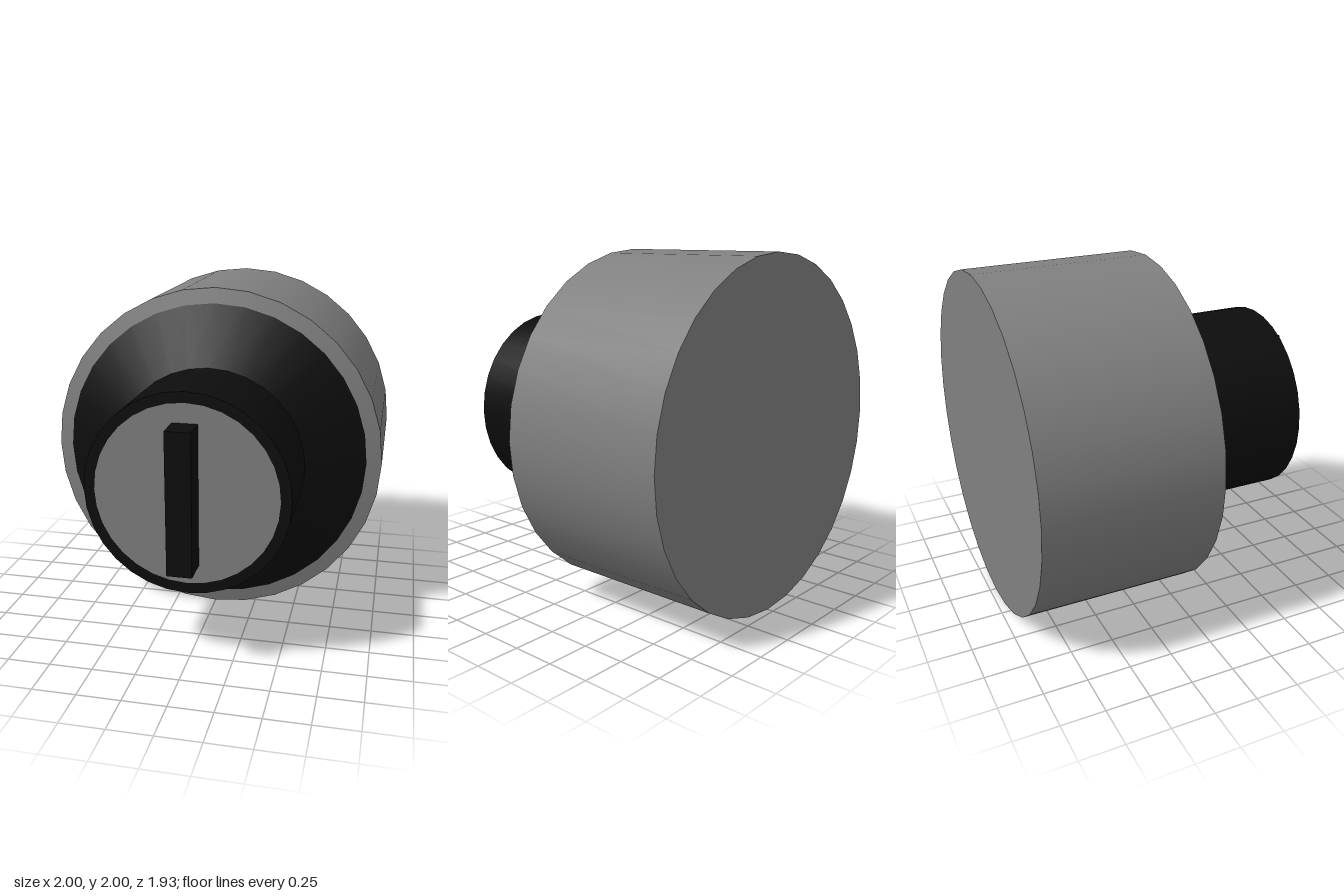
import * as THREE from 'three';

const SIDES = 32;

export function createModel() {
  const model = new THREE.Group();
  model.name = 'rotaryKnob';

  const grey = new THREE.MeshStandardMaterial({ color: 0x808080 });
  grey.name = 'metal grey';
  const black = new THREE.MeshStandardMaterial({ color: 0x0d0d0d });
  black.name = 'matte black';

  function add(name, geometry, material, z) {
    const mesh = new THREE.Mesh(geometry, material);
    mesh.name = name;
    mesh.position.set(0, 1, z);
    model.add(mesh);
    return mesh;
  }

  // Open round wall along z, from z0 (radius r0) forward to z1 (radius r1)
  function wall(name, r0, z0, r1, z1, material) {
    const geometry = new THREE.CylinderGeometry(r1, r0, z1 - z0, SIDES, 1, true);
    geometry.rotateX(Math.PI / 2);
    add(name, geometry, material, (z0 + z1) / 2);
  }

  // Grey body with a flat back and a shallow front bevel
  const back = new THREE.CircleGeometry(1, SIDES, Math.PI / 2).rotateY(Math.PI);
  add('bodyBack', back, grey, -0.964);
  wall('bodySide', 1, -0.964, 1, 0.055, grey);
  wall('bodyBevel', 1, 0.055, 0.912, 0.078, grey);

  // Black collar narrowing into the neck
  wall('collar', 0.912, 0.078, 0.57, 0.252, black);
  wall('neck', 0.57, 0.252, 0.57, 0.806, black);

  // Front face: black rim around a flush grey disc
  add('faceRim', new THREE.RingGeometry(0.51, 0.57, SIDES, 1, Math.PI / 2), black, 0.806);
  add('faceDisc', new THREE.CircleGeometry(0.51, SIDES, Math.PI / 2), grey, 0.806);

  // Upright grip bar
  add('gripBar', new THREE.BoxGeometry(0.14, 0.8, 0.158), black, 0.885);

  return model;
}
